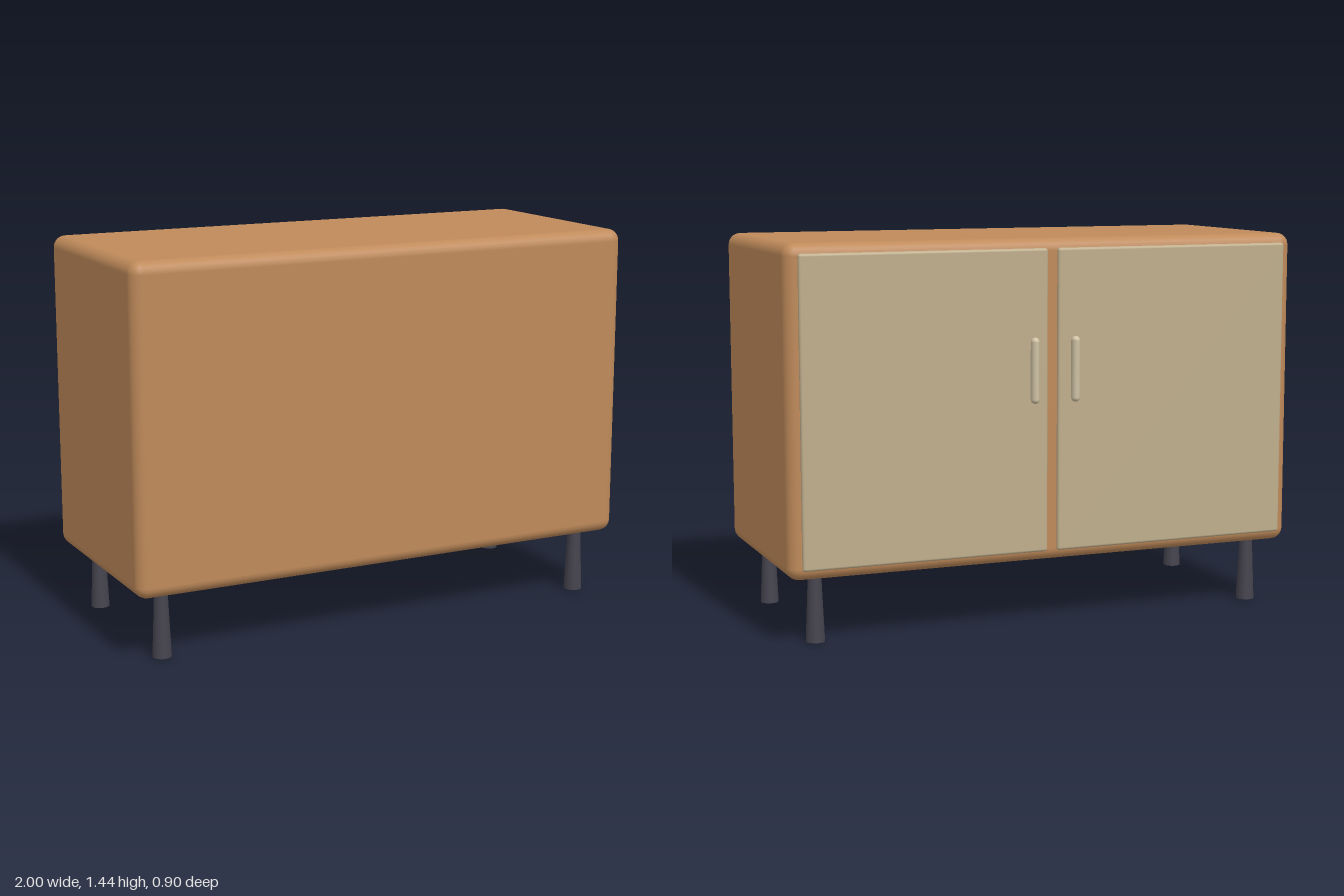
import * as THREE from 'three';
import { RoundedBoxGeometry } from 'three/addons/geometries/RoundedBoxGeometry.js';

export function createModel() {
  const model = new THREE.Group();
  model.name = 'cabinet';

  const wood = new THREE.MeshStandardMaterial({ color: 0xbf8a5a });
  const panel = new THREE.MeshStandardMaterial({ color: 0xbfae8c });
  const pull = new THREE.MeshStandardMaterial({ color: 0xcfc2a4 });
  const dark = new THREE.MeshStandardMaterial({ color: 0x45434d });

  const add = (name, geometry, material, x, y, z) => {
    const mesh = new THREE.Mesh(geometry, material);
    mesh.name = name;
    mesh.position.set(x, y, z);
    model.add(mesh);
    return mesh;
  };

  // Rounded carcass
  add('body', new RoundedBoxGeometry(2, 1.195, 0.84, 3, 0.045), wood, 0, 0.8425, 0.03);

  // Shared shapes for the mirrored parts
  const doorGeometry = new RoundedBoxGeometry(0.935, 1.12, 0.022, 3, 0.01);
  const handleGeometry = new THREE.CapsuleGeometry(0.016, 0.21, 6, 16);
  handleGeometry.scale(1, 1, 1.19);
  const legGeometry = new THREE.CylinderGeometry(0.024, 0.035, 0.25, 20);

  for (const [side, s] of [['left', 1], ['right', -1]]) {
    // Door with its upright pull next to the centre gap
    add(`${side}Door`, doorGeometry, panel, s * 0.4875, 0.845, -0.4);
    add(`${side}Handle`, handleGeometry, pull, s * 0.08, 0.963, -0.43);

    // Legs widening towards the floor
    add(`${side}FrontLeg`, legGeometry, dark, s * 0.88, 0.125, 0.353);
    add(`${side}BackLeg`, legGeometry, dark, s * 0.88, 0.125, -0.288);
  }

  return model;
}
